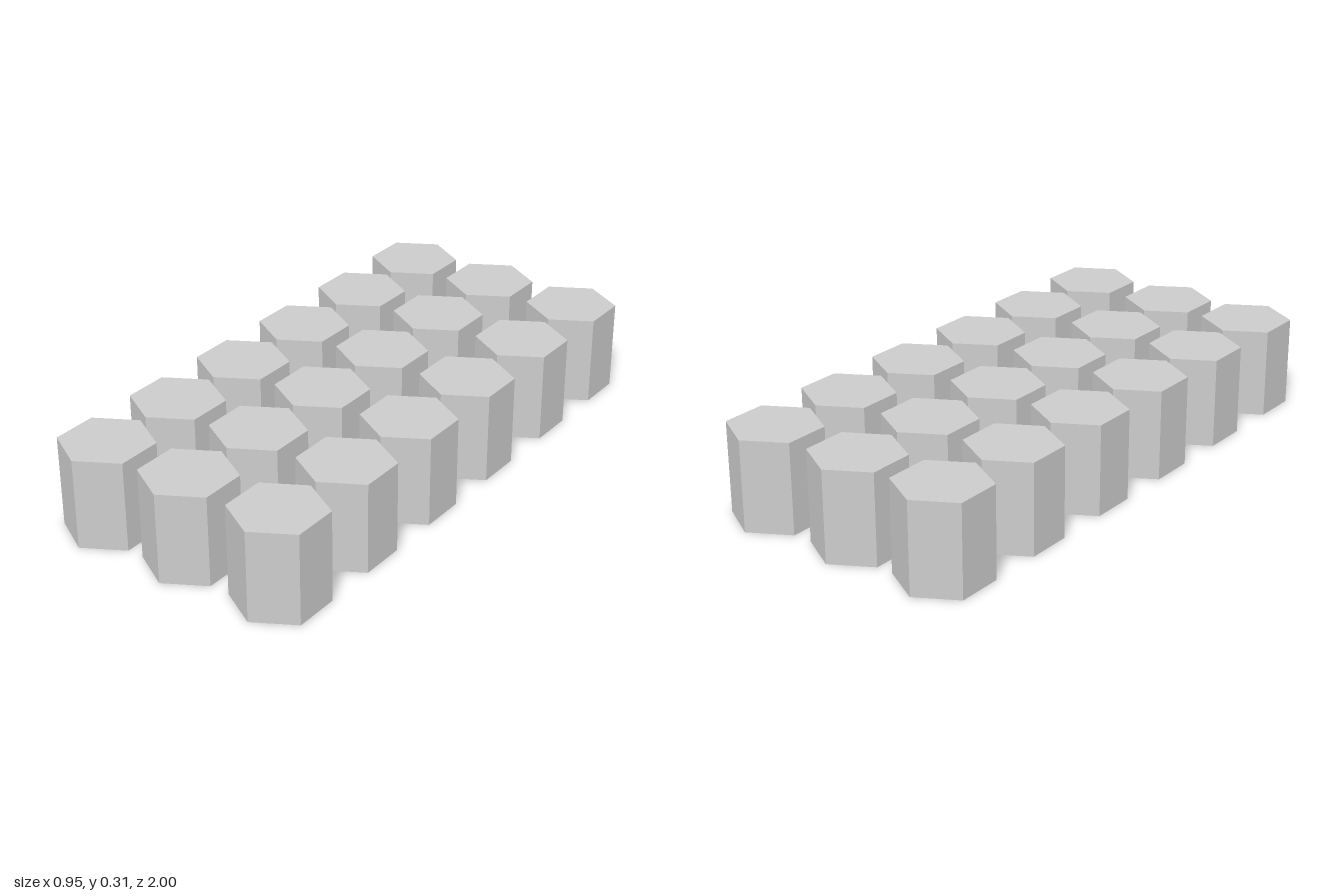
import * as THREE from 'three';

export function createModel() {
  const model = new THREE.Group();
  model.name = 'hexagonalColumns';

  const radius = 0.156;
  const height = 0.313;
  const columnX = [-0.337, -0.006, 0.336];
  const rowZ = [0.844, 0.508, 0.174, -0.164, -0.507, -0.844];

  const material = new THREE.MeshStandardMaterial({
    color: 0xcccccc, flatShading: true, side: THREE.DoubleSide,
  });

  // Hollow hexagonal shell: six walls and a lid, open underneath, corners along z
  const shell = new THREE.LatheGeometry([
    new THREE.Vector2(radius, 0),
    new THREE.Vector2(radius, height),
    new THREE.Vector2(0, height),
  ], 6);
  // The hexagon is very slightly wider than regular
  shell.scale(1.008, 1, 1);

  // Grid of separate columns, three across and six deep
  rowZ.forEach((z, row) => {
    columnX.forEach((x, col) => {
      const column = new THREE.Mesh(shell, material);
      column.name = `hexColumn_row${row + 1}_${col + 1}`;
      column.position.set(x, 0, z);
      model.add(column);
    });
  });

  return model;
}
